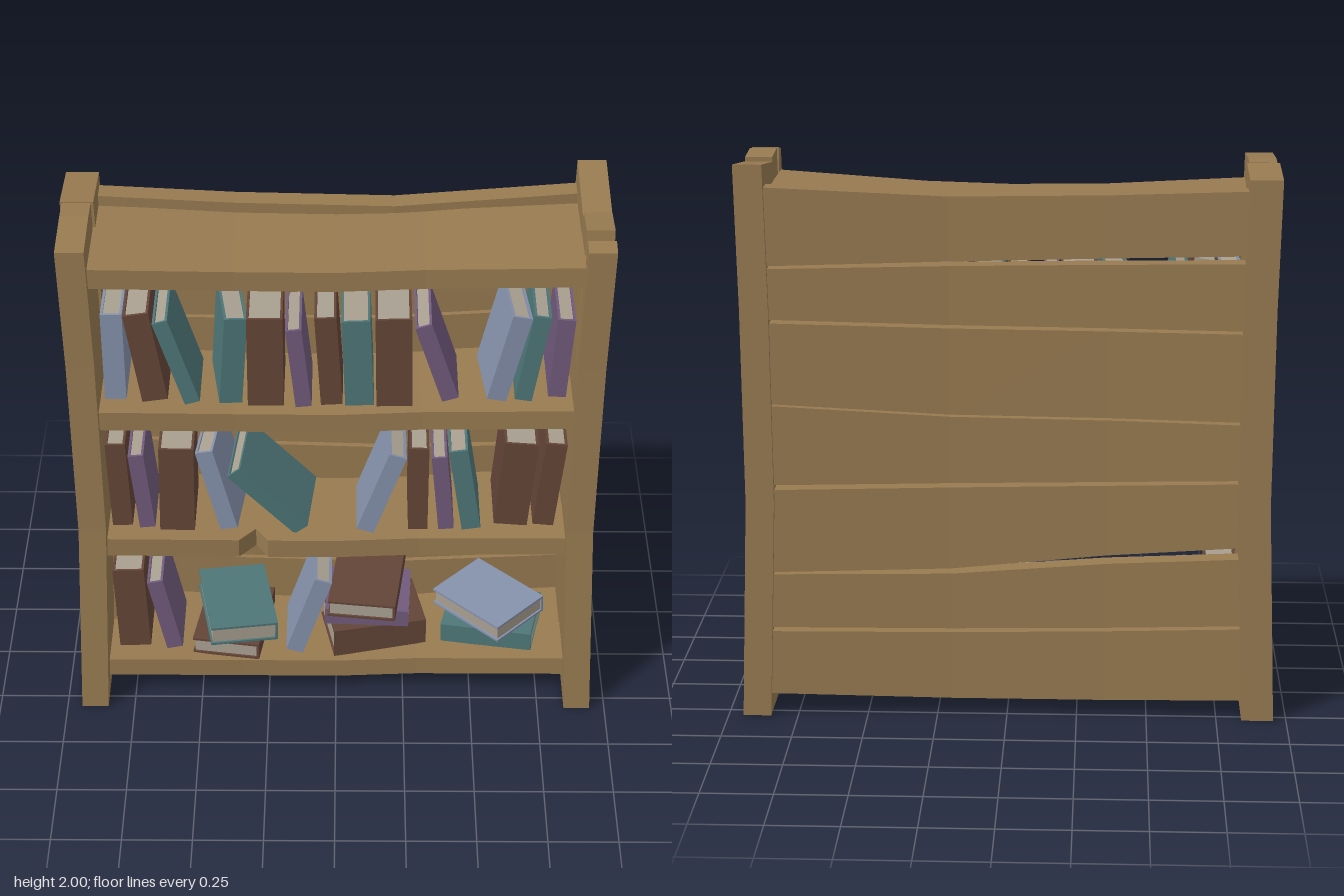
import * as THREE from 'three';
import { mergeGeometries } from 'three/addons/utils/BufferGeometryUtils.js';

const mat = (name, color) => {
  const m = new THREE.MeshStandardMaterial({ color });
  m.name = name;
  return m;
};

// Segmented box whose grid corners (i, j, k) are placed by a rule, with flat faces
function gridBox(sx, sy, sz, rule) {
  const g = new THREE.BoxGeometry(1, 1, 1, sx, sy, sz);
  const p = g.attributes.position;
  for (let n = 0; n < p.count; n++) {
    const i = Math.round((p.getX(n) + 0.5) * sx);
    const j = Math.round((p.getY(n) + 0.5) * sy);
    const k = Math.round((p.getZ(n) + 0.5) * sz);
    p.setXYZ(n, ...rule(i, j, k));
  }
  const flat = g.toNonIndexed();
  flat.computeVertexNormals();
  return flat;
}

// Height of a sagging shelf above its lowest point, at any x
const sagX = [-0.85, -0.35, 0, 0.3, 0.85];
const sagY = [0.026, 0.004, 0, 0.01, 0.042];
function sag(x) {
  const n = x < sagX[1] ? 0 : x < sagX[2] ? 1 : x < sagX[3] ? 2 : 3;
  return THREE.MathUtils.mapLinear(x, sagX[n], sagX[n + 1], sagY[n], sagY[n + 1]);
}

export function createModel() {
  const root = new THREE.Group();
  root.name = 'bookcase';
  const wood = mat('wood', 0x977a50);
  const pages = mat('pages', 0xa89f90);
  const covers = {
    brown: mat('brownCover', 0x644538),
    teal: mat('tealCover', 0x4e7678),
    blue: mat('paleBlueCover', 0x8591ab),
    purple: mat('purpleCover', 0x715a7c),
  };
  const add = (name, geo, material, parent = root) => {
    const m = new THREE.Mesh(geo, material);
    m.name = name;
    parent.add(m);
  };

  // Upright side planks, bowed in at the waist; tops are [depth fraction, height] from back to front
  const rows = [0, 0.8, 1.5];
  const centre = [0.897, 0.868, 0.872, 0.882];
  function upright(name, side, width, zBack, zFront, tops) {
    add(name, gridBox(1, 3, tops.length - 1, (i, j, k) => [
      side * centre[j] + (i - 0.5) * width,
      j < 3 ? rows[j] : tops[k][1],
      THREE.MathUtils.lerp(zBack(j), zFront(j), tops[k][0]),
    ]), wood);
  }
  const flare = (j) => [0.305, 0.262, 0.25, 0.25][j];
  upright('leftFrontUpright', 1, 0.096, (j) => 0.032 - 0.009 * j, flare,
    [[0, 1.975], [0.53, 1.985], [0.66, 1.74], [0.76, 1.98], [1, 1.967]]);
  upright('leftBackUpright', 1, 0.1, () => -0.3, (j) => 0.018 - 0.006 * j, [[0, 2], [1, 1.96]]);
  upright('rightFrontUpright', -1, 0.098, (j) => -0.015 * j, flare, [[0, 1.975], [0.3, 1.978], [1, 1.962]]);
  upright('rightBackUpright', -1, 0.114, () => -0.285, (j) => -0.007 - 0.015 * j, [[0, 1.955], [1, 1.975]]);

  // Lengthwise boards: stations of [x, bottom, top, back, front]
  const board = (name, st) => add(name, gridBox(st.length - 1, 1, 1,
    (i, j, k) => [st[i][0], st[i][1 + j], st[i][3 + k]]), wood);

  // Sagging shelves; the lower one is chipped at its front edge
  const frontZ = [0.222, 0.198, 0.195, 0.19, 0.226];
  const shelves = { topShelf: 1.852, upperShelf: 1.266, lowerShelf: 0.705, bottomShelf: 0.132 };
  for (const [name, top] of Object.entries(shelves)) {
    const station = (x, z) => {
      const y = top + sag(x);
      return [x, y - 0.075, y, -0.19, z];
    };
    const st = sagX.map((x, n) => station(x, frontZ[n]));
    if (name === 'lowerShelf') st.splice(2, 0, station(-0.29, 0.13), station(-0.245, 0.198));
    board(name, st);
  }

  // Back boards lie between crooked seams: heights at four stations, then gap at each end
  const backX = [-0.85, -0.35, 0.2, 0.85];
  const backZ = [-0.268, -0.255, -0.25, -0.285];
  const seams = [
    [0.07, 0.06, 0.058, 0.08, 0, 0],
    [0.346, 0.328, 0.316, 0.324, 0.012, 0.016],
    [0.623, 0.59, 0.539, 0.534, 0.043, 0.008],
    [0.884, 0.87, 0.857, 0.851, 0.012, 0.018],
    [1.095, 1.105, 1.111, 1.153, 0.01, 0.007],
    [1.42, 1.425, 1.43, 1.451, 0.011, 0.013],
    [1.676, 1.665, 1.652, 1.64, 0.028, 0.01],
    [1.914, 1.895, 1.886, 1.92, 0, 0],
  ];
  const gap = (s, n) => THREE.MathUtils.lerp(s[4], s[5], n / 3) / 2;
  for (let b = 0; b < 7; b++) {
    const [low, high] = [seams[b], seams[b + 1]];
    board('backBoard' + (b + 1), backX.map((x, n) =>
      [x, low[n] + gap(low, n), high[n] - gap(high, n), backZ[n], backZ[n] + 0.073]));
  }

  // Book centred on its origin: thickness in x, height in y, spine towards +z
  function book(colour, t, h, d) {
    const g = new THREE.Group();
    g.name = colour + 'Book';
    const c = 0.009;
    const spine = new THREE.BoxGeometry(t, h, c).translate(0, 0, d / 2 - c / 2);
    const sides = [-1, 1].map((s) =>
      new THREE.BoxGeometry(c, h, d - c).translate(s * (t - c) / 2, 0, -c / 2));
    add('cover', mergeGeometries([spine, ...sides]), covers[colour], g);
    add('pages', new THREE.BoxGeometry(t - 2 * c, h - 0.014, d - c - 0.008).translate(0, 0, 0.004 - c / 2), pages, g);
    root.add(g);
    return g;
  }

  // Standing books rest on the shelf: colour, x of the foot, lean in degrees, thickness, yaw
  const height = { brown: 0.36, teal: 0.35, blue: 0.352, purple: 0.32 };
  function standRow(shelfTop, row) {
    row.forEach(([colour, x, degrees, t, yaw = 0], n) => {
      const h = height[colour];
      const lean = THREE.MathUtils.degToRad(degrees);
      const rise = (h * Math.cos(lean) + t * Math.abs(Math.sin(lean))) / 2;
      const b = book(colour, t, h, 0.26);
      b.position.set(x - Math.sin(lean) * h / 2, shelfTop + sag(x) + 0.007 + rise, 0.015 + (n % 3) * 0.008);
      b.rotation.set(0, yaw, lean, 'ZYX');
    });
  }
  standRow(shelves.upperShelf, [
    ['blue', -0.768, 0, 0.075], ['brown', -0.63, 8.7, 0.09], ['teal', -0.5, 17, 0.055],
    ['teal', -0.385, -4, 0.08, 0.14], ['brown', -0.245, 0, 0.125], ['purple', -0.113, 6, 0.056],
    ['brown', -0.015, 3.5, 0.076], ['teal', 0.082, 2.4, 0.1], ['brown', 0.203, 1, 0.125],
    ['purple', 0.398, 18, 0.06], ['blue', 0.545, -13, 0.07, 0.1], ['teal', 0.65, -9, 0.06],
    ['purple', 0.768, -3.5, 0.062],
  ]);
  standRow(shelves.lowerShelf, [
    ['brown', -0.77, 2, 0.072], ['purple', -0.68, 5.5, 0.056], ['brown', -0.572, -1, 0.125],
    ['blue', -0.372, 13.5, 0.065, -0.12], ['teal', -0.112, 43, 0.065, -0.15], ['blue', 0.105, -19, 0.065],
    ['brown', 0.295, 0, 0.07], ['purple', 0.397, 5.5, 0.056], ['teal', 0.487, 9, 0.068],
    ['brown', 0.628, -4.5, 0.12], ['brown', 0.745, -5.5, 0.075],
  ]);
  standRow(shelves.bottomShelf, [
    ['brown', -0.75, 2, 0.115], ['purple', -0.602, 11.5, 0.06], ['blue', -0.155, -18, 0.065],
  ]);

  // Lying books: colour, x, centre y, thickness, height, yaw, tip
  const lying = [
    ['brown', -0.385, 0.176, 0.07, 0.34, 1.42, 0],
    ['teal', -0.37, 0.253, 0.08, 0.35, 1.75, -0.03],
    ['brown', 0.14, 0.193, 0.12, 0.35, 0.2, 0],
    ['purple', 0.12, 0.294, 0.07, 0.31, -0.05, 0],
    ['brown', 0.115, 0.37, 0.07, 0.36, 1.45, 0],
    ['teal', 0.585, 0.197, 0.08, 0.34, -0.22, 0.04],
    ['blue', 0.57, 0.28, 0.07, 0.33, 2.35, 0.04],
  ];
  for (const [colour, x, y, t, h, yaw, tip] of lying) {
    const b = book(colour, t, h, 0.25);
    b.position.set(x, y, 0.012);
    b.rotation.z = tip;
    b.rotateY(yaw).rotateZ(Math.PI / 2);
  }
  return root;
}
